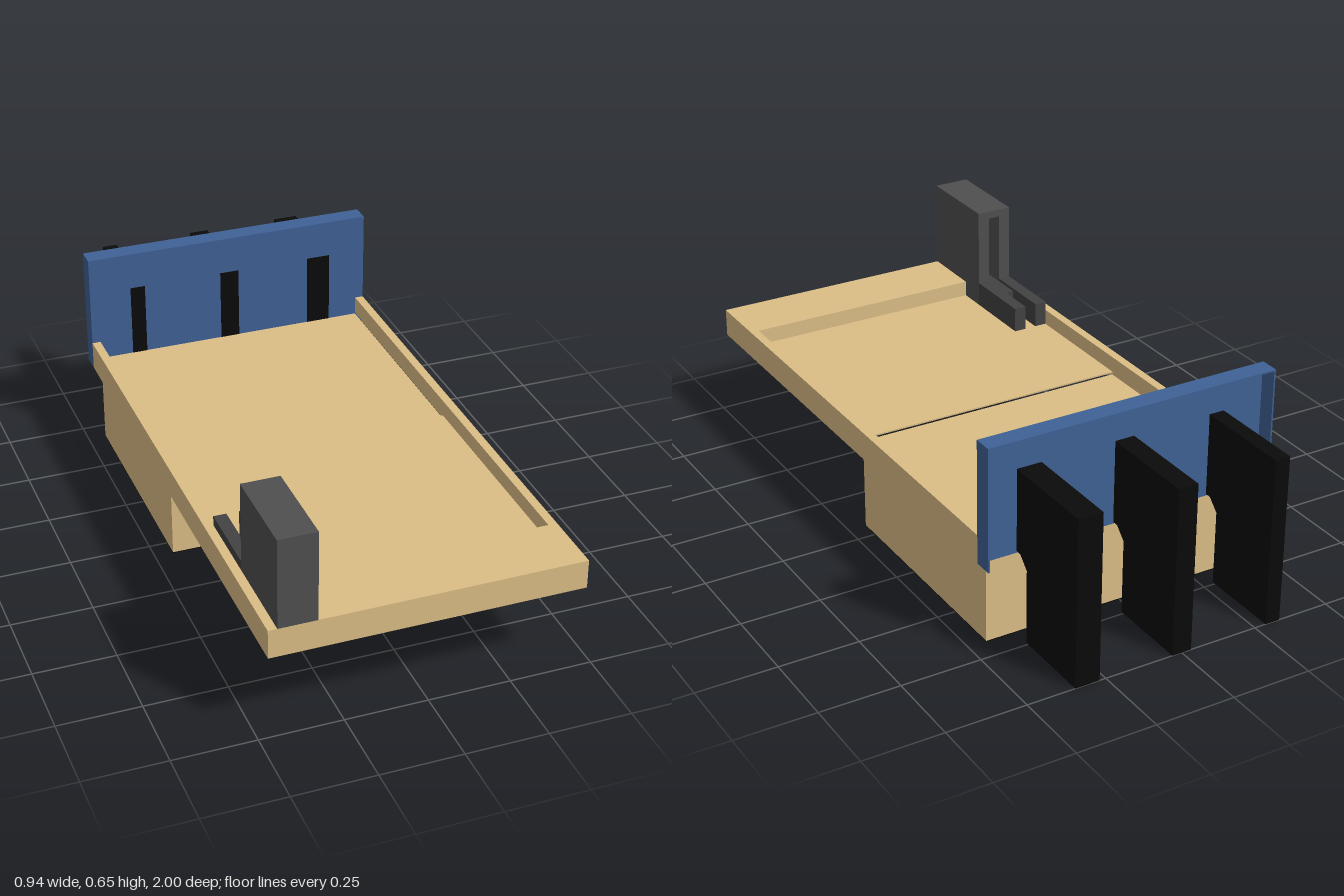
import * as THREE from 'three';

const mat = (color) => new THREE.MeshStandardMaterial({ color, flatShading: true });

export function createModel() {
  const model = new THREE.Group();
  const tan = mat(0xdcbe86), blue = mat(0x3f6296), grey = mat(0x4f4f4f);
  const darkGrey = mat(0x414241), black = mat(0x0a0a0a);

  const group = (name) => {
    const g = new THREE.Group();
    g.name = name;
    model.add(g);
    return g;
  };
  // Box given by its limits on each axis
  const block = (parent, name, material, [x0, x1], [y0, y1], [z0, z1]) => {
    const mesh = new THREE.Mesh(new THREE.BoxGeometry(x1 - x0, y1 - y0, z1 - z0), material);
    mesh.position.set((x0 + x1) / 2, (y0 + y1) / 2, (z0 + z1) / 2);
    mesh.name = name;
    parent.add(mesh);
    return mesh;
  };

  const T = 0.005;             // sheet thickness
  const W = 0.47, IN = 0.443;  // half widths: outer and inside the rails
  const BOTTOM = 0.265, TOP = 0.355, FLOOR = 0.305;
  const BACK = -0.68, BOX = 0.06, SHELF = 0.8;

  // Tray: a thin shell, hollow underneath, with a sunken floor
  const tray = group('tray');
  for (const s of [-1, 1]) {
    const span = (a, b) => (s > 0 ? [a, b] : [-b, -a]);
    block(tray, 'railOuterWall', tan, span(W - T, W), [BOTTOM, TOP], [BACK, 1]);
    block(tray, 'railTop', tan, span(IN, W - T), [TOP - T, TOP], [BACK, 1 - T]);
    block(tray, 'railInnerWall', tan, span(IN, IN + T), [FLOOR - T, TOP - T], [BACK, SHELF]);
  }
  block(tray, 'frontShelf', tan, [-IN, IN], [TOP - T, TOP], [SHELF, 1 - T]);
  block(tray, 'shelfStep', tan, [-IN, IN], [FLOOR - T, TOP - T], [SHELF, SHELF + T]);
  block(tray, 'frontLip', tan, [-W + T, W - T], [BOTTOM, TOP], [1 - T, 1]);
  block(tray, 'frontFloor', tan, [-IN, IN], [FLOOR - T, FLOOR], [BOX, SHELF]);

  // Lower box, its top forms the slightly lower rear floor
  const base = group('lowerBox');
  block(base, 'boxBody', tan, [-IN, IN], [0.003, FLOOR - 0.01], [BACK, BOX]);
  block(base, 'boxUnderside', black, [-IN, IN], [0, 0.003], [BACK, BOX]);

  // Backboard: a front sheet with a rim, open at the rear
  const board = group('backboard');
  const REAR = -0.74, HIGH = 0.65;
  block(board, 'boardSheet', blue, [-W, W], [BOTTOM, HIGH], [BACK - T, BACK]);
  block(board, 'boardTopRim', blue, [-W, W], [HIGH - T, HIGH], [REAR, BACK - T]);
  for (const s of [-1, 1]) {
    const x = s * (W - T / 2);
    block(board, 'boardSideRim', blue, [x - T / 2, x + T / 2], [BOTTOM, HIGH - T], [REAR, BACK - T]);
  }

  // Upright fins behind the board, their front edges showing through it
  const fins = group('fins');
  const profile = new THREE.Shape([
    [0.679, 0.53], [0.679, 0.27], [0.705, 0.27], [0.74, 0.235], [0.74, 0], [1, 0], [1, 0.53],
  ].map(([d, y]) => new THREE.Vector2(d, y)));
  for (const [x, w] of [[-0.311, 0.048], [0, 0.062], [0.309, 0.078]]) {
    const geo = new THREE.ExtrudeGeometry(profile, { depth: w, bevelEnabled: false });
    geo.rotateY(Math.PI / 2);   // profile distance runs towards -z, depth along +x
    const fin = new THREE.Mesh(geo, black);
    fin.position.x = x - w / 2;
    fin.name = 'fin';
    fins.add(fin);
  }

  // Column on the front corner, with a groove in its rear face
  const column = group('column');
  const X = [-0.443, -0.404, -0.366, -0.327];
  const H = 0.635, RZ = 0.71;
  block(column, 'columnBody', grey, [X[0], X[3]], [FLOOR + 0.005, H], [SHELF + T, 0.998]);
  block(column, 'columnFront', grey, [X[0], X[3]], [TOP, H], [0.99, 1]);
  block(column, 'columnCap', grey, [X[0], X[3]], [H - 0.025, H], [RZ, SHELF + T]);
  for (const i of [0, 2]) {
    block(column, 'columnCheek', grey, [X[i], X[i + 1]], [FLOOR, H - 0.025], [RZ, SHELF + T]);
    block(column, 'prong', darkGrey, [X[i], X[i + 1]], [FLOOR, 0.385], [0.47, RZ]);
  }
  block(column, 'prongBridge', darkGrey, [X[1], X[2]], [FLOOR, 0.375], [0.615, SHELF]);

  return model;
}
